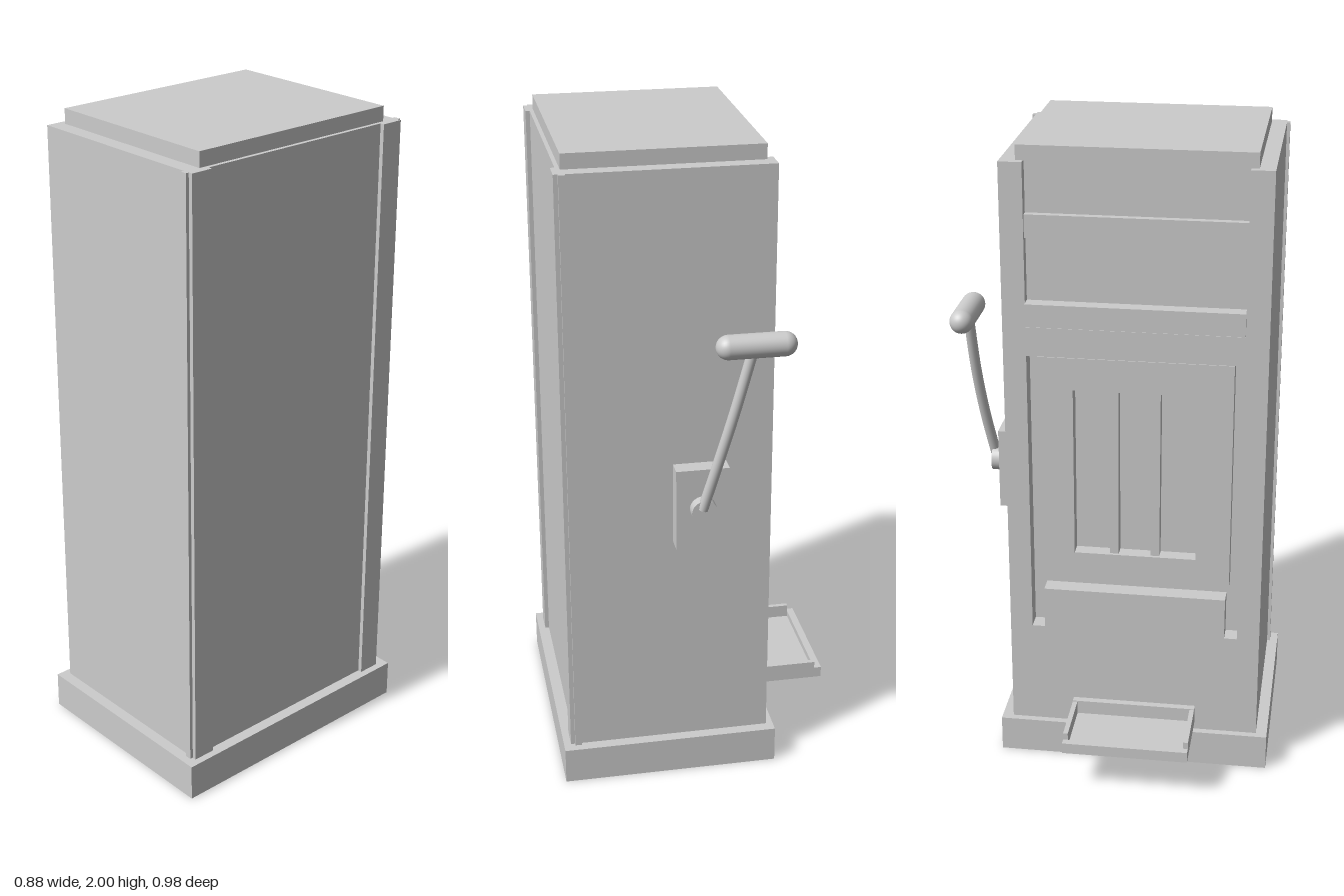
import * as THREE from 'three';

const material = new THREE.MeshStandardMaterial({ color: 0xcccccc });
const flatMaterial = new THREE.MeshStandardMaterial({ color: 0xcccccc, flatShading: true });

export function createModel() {
  const model = new THREE.Group();
  model.name = 'leverCabinet';

  const add = (name, geometry, mat = material) => {
    const mesh = new THREE.Mesh(geometry, mat);
    mesh.name = name;
    model.add(mesh);
    return mesh;
  };

  // Box given by its limits on each axis
  const box = (name, x0, x1, y0, y1, z0, z1) => {
    const mesh = add(name, new THREE.BoxGeometry(x1 - x0, y1 - y0, z1 - z0), flatMaterial);
    mesh.position.set((x0 + x1) / 2, (y0 + y1) / 2, (z0 + z1) / 2);
    return mesh;
  };

  // Plate drawn in (z, y) and extruded from xBack towards -x
  const plate = (name, outline, hole, xFront, xBack) => {
    const toPoints = (list) => list.map(([z, y]) => new THREE.Vector2(z, y));
    const shape = new THREE.Shape(toPoints(outline));
    shape.holes.push(new THREE.Path(toPoints(hole)));
    const geometry = new THREE.ExtrudeGeometry(shape, { depth: xBack - xFront, bevelEnabled: false });
    geometry.rotateY(-Math.PI / 2);
    geometry.translate(xBack, 0, 0);
    return add(name, geometry, flatMaterial);
  };

  const bottom = 0.115, top = 1.955;
  const z0 = -0.335, z1 = 0.455;   // cabinet sides
  const g0 = -0.265, g1 = 0.385;   // opening between the corner posts
  const inner = -0.155;            // back of the front plates

  // Cabinet
  box('base', -0.232, 0.44, 0, bottom, -0.37, 0.49);
  box('cabinetBody', inner, 0.405, bottom, top, z0, z1);
  box('topCap', -0.188, 0.393, top, 2, -0.288, 0.408);

  // Rear edge trim and rear posts, mirrored on both sides
  box('rearTrimRight', 0.385, 0.405, bottom, top, z0 - 0.01, z0);
  box('rearTrimLeft', 0.385, 0.405, bottom, top, z1, z1 + 0.01);
  box('rearPostRight', 0.405, 0.418, bottom, top, z0, g0);
  box('rearPostLeft', 0.405, 0.418, bottom, top, g1, z1);

  // Front plate: open above, with a stepped recess around the window panel
  plate('frontPlate',
    [[z0, bottom], [z1, bottom], [z1, top], [g1, top], [g1, 1.46], [g0, 1.46], [g0, top], [z0, top]],
    [[g0, 0.455], [g0, 1.37], [g1, 1.37], [g1, 0.455], [0.345, 0.455], [0.345, 0.59],
      [-0.225, 0.59], [-0.225, 0.455]],
    -0.21, inner);

  // Upper display with its two rails
  box('upperDisplay', -0.178, inner, 1.46, top, g0, g1);
  box('upperRail', -0.2, -0.178, 1.73, 1.8, g0, g1);
  box('displayLedge', -0.222, -0.178, 1.465, 1.535, g0, g1);

  // Window panel and the dividers between the reels
  plate('windowPanel',
    [[-0.235, 0.632], [0.355, 0.632], [0.355, 1.365], [-0.235, 1.365]],
    [[-0.128, 0.72], [-0.128, 1.263], [0.25, 1.263], [0.25, 0.72]],
    -0.2, inner);
  for (const z of [-0.005, 0.122]) box('reelDivider', -0.19, inner, 0.72, 1.263, z - 0.014, z + 0.014);

  // Payout tray
  box('trayFloor', -0.443, -0.21, 0.14, 0.155, -0.135, 0.257);
  box('trayLip', -0.443, -0.42, 0.155, 0.175, -0.135, 0.257);
  box('traySideRight', -0.42, -0.21, 0.155, 0.197, -0.135, -0.12);
  box('traySideLeft', -0.42, -0.21, 0.155, 0.197, 0.242, 0.257);
  box('trayBack', -0.232, -0.21, 0.155, 0.2, -0.135, 0.257);

  // Lever: mounting plate, hub, curved arm and handle
  box('leverPlate', -0.07, 0.09, 0.803, 1.06, -0.388, z0);
  const hub = add('leverHub', new THREE.CylinderGeometry(0.039, 0.039, 0.04, 32));
  hub.rotation.x = Math.PI / 2;
  hub.position.set(0.01, 0.935, -0.402);
  const armPath = new THREE.CatmullRomCurve3([
    new THREE.Vector3(0.015, 0.945, -0.414),
    new THREE.Vector3(-0.025, 1.1, -0.436),
    new THREE.Vector3(-0.068, 1.26, -0.45),
    new THREE.Vector3(-0.12, 1.46, -0.457),
  ]);
  add('leverArm', new THREE.TubeGeometry(armPath, 24, 0.016, 16));
  const handle = add('leverHandle', new THREE.CapsuleGeometry(0.036, 0.163, 10, 32));
  handle.rotation.z = Math.PI / 2;
  handle.position.set(-0.128, 1.468, -0.457);

  return model;
}
